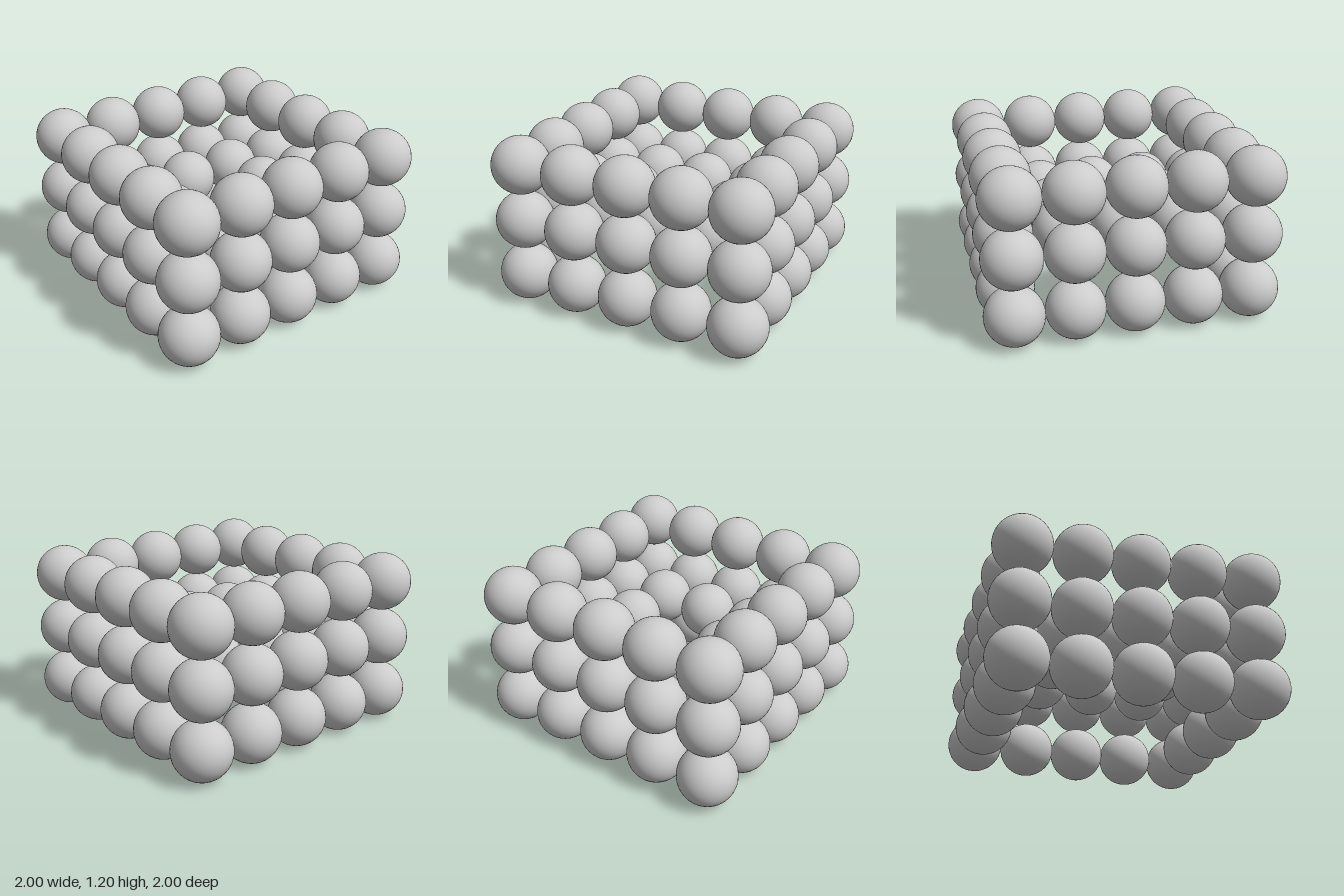
import * as THREE from 'three';

const RADIUS = 0.2;
const STEP = 0.4;

export function createModel() {
  const model = new THREE.Group();
  model.name = 'ballStack';
  const ball = new THREE.SphereGeometry(RADIUS, 40, 24);
  const material = new THREE.MeshStandardMaterial({ color: 0xcccccc });

  // Square ring of touching balls, reaching n steps from the centre
  function addRing(layer, n, name) {
    const ring = new THREE.Group();
    ring.name = name;
    for (let i = -n; i <= n; i++) {
      for (let k = -n; k <= n; k++) {
        if (Math.max(Math.abs(i), Math.abs(k)) !== n) continue;
        const mesh = new THREE.Mesh(ball, material);
        mesh.name = 'ball';
        mesh.position.set(i * STEP, 0, k * STEP);
        ring.add(mesh);
      }
    }
    ring.position.y = RADIUS + layer * STEP;
    model.add(ring);
  }

  // Three outer rings form the walls
  ['bottomRing', 'middleRing', 'topRing'].forEach((name, layer) => addRing(layer, 2, name));

  // Inner ring fills the middle layer, leaving a hole at the centre
  addRing(1, 1, 'innerRing');

  return model;
}
